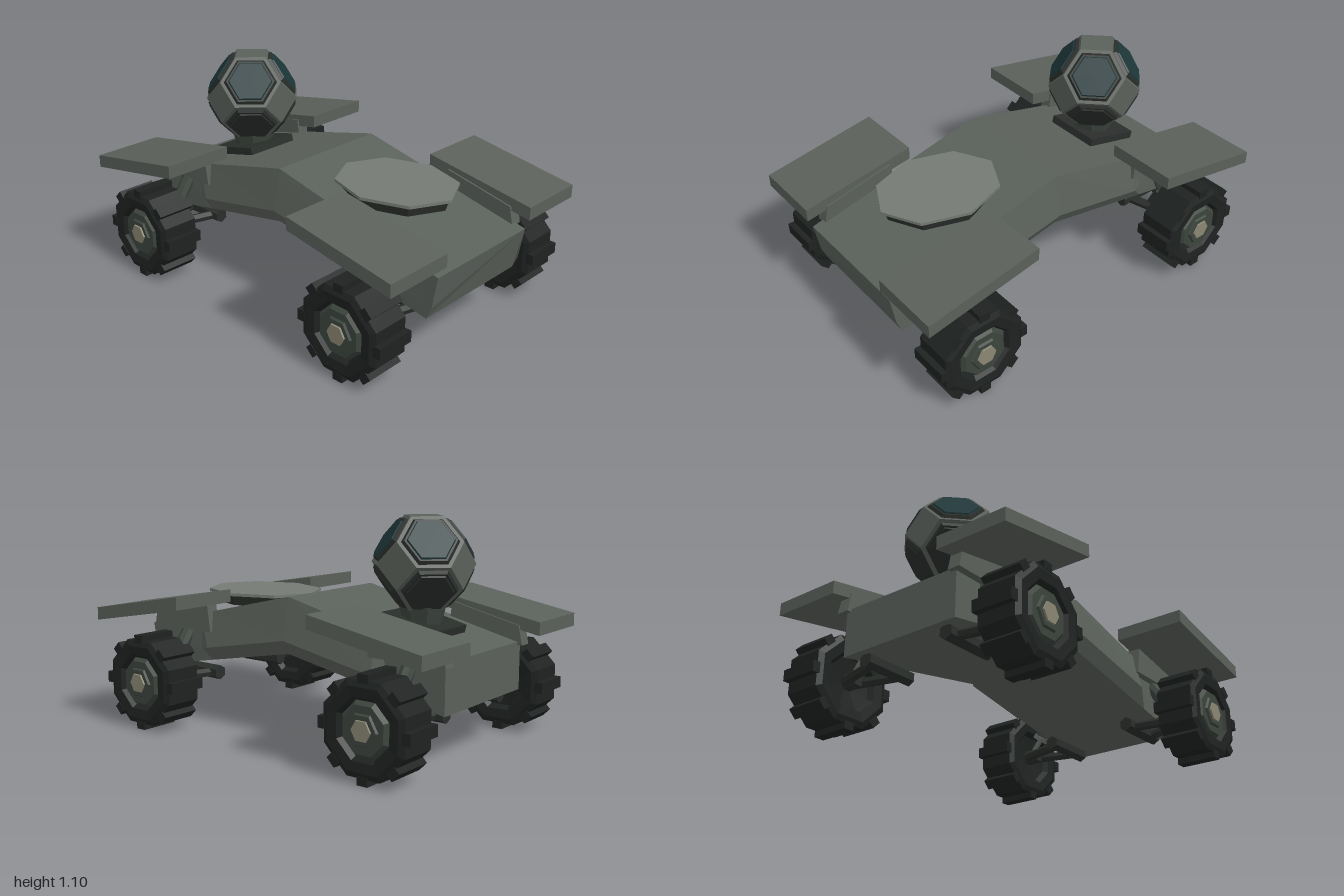
import * as THREE from 'three';
import { ConvexGeometry } from 'three/addons/geometries/ConvexGeometry.js';

const mat = (color) => new THREE.MeshStandardMaterial({ color, flatShading: true });
const HULL = mat(0x5a605a), PLATE = mat(0x747a73), DARK = mat(0x2a2e2b), TYRE = mat(0x1e2220);
const RIM = mat(0x3c443d), CAP = mat(0x8a8672), GLASS = mat(0x1d3638), STEEL = mat(0x6a706a);

function add(parent, name, geometry, material, x = 0, y = 0, z = 0) {
  const mesh = new THREE.Mesh(geometry, material);
  mesh.name = name;
  mesh.position.set(x, y, z);
  parent.add(mesh);
  return mesh;
}

// Side profile of [z, y] points extruded to a width across x
function slab(points, width) {
  const shape = new THREE.Shape(points.map(([z, y]) => new THREE.Vector2(z, y)));
  return new THREE.ExtrudeGeometry(shape, { depth: width, bevelEnabled: false })
    .translate(0, 0, -width / 2).rotateY(-Math.PI / 2);
}

// Rod between two points
function rod(parent, name, from, to, r1, r2, material, sides = 6) {
  const a = new THREE.Vector3(...from), b = new THREE.Vector3(...to);
  const dir = b.clone().sub(a);
  const mesh = add(parent, name, new THREE.CylinderGeometry(r2, r1, dir.length(), sides), material);
  mesh.position.copy(a).add(b).multiplyScalar(0.5);
  mesh.quaternion.setFromUnitVectors(new THREE.Vector3(0, 1, 0), dir.normalize());
}

// Arched hull: six-sided sections with a chine that flares between the wheels
function hullGeometry() {
  const stations = [ // top z, bottom z, chine half-width
    [-0.89, -0.89, 0.333], [-0.6, -0.6, 0.335], [-0.52, -0.52, 0.375], [0, 0, 0.375],
    [0.52, 0.52, 0.375], [0.6, 0.6, 0.335], [0.97, 0.915, 0.333],
  ];
  const pos = [], index = [], w = 0.333;
  for (const [zt, zb, chine] of stations) {
    const zc = (zt + zb) / 2;
    const t = 0.705 - 0.235 * Math.abs(zt);
    const c = 0.495 - 0.187 * Math.abs(zc);
    const b = 0.425 - 0.186 * Math.abs(zb);
    pos.push(w, t, zt, -w, t, zt, -chine, c, zc, -w, b, zb, w, b, zb, chine, c, zc);
  }
  const last = (stations.length - 1) * 6;
  for (let i = 0; i < last; i += 6) {
    for (let j = 0; j < 6; j++) {
      const k = (j + 1) % 6;
      index.push(i + j, i + k, i + 6 + k, i + j, i + 6 + k, i + 6 + j);
    }
  }
  for (let j = 1; j < 5; j++) index.push(0, j + 1, j, last, last + j, last + j + 1);
  const g = new THREE.BufferGeometry();
  g.setAttribute('position', new THREE.Float32BufferAttribute(pos, 3));
  g.setIndex(index);
  const flat = g.toNonIndexed();
  flat.computeVertexNormals();
  return flat;
}

// Eight-sided wheel, axle along local y, outer face towards +y
function makeWheel() {
  const wheel = new THREE.Group();
  wheel.name = 'wheel';
  const profile = [[0, -0.06], [0.13, -0.075], [0.15, -0.103], [0.2, -0.108], [0.23, -0.095],
    [0.23, 0.095], [0.2, 0.108], [0.15, 0.103], [0.13, 0.075], [0, 0.07]];
  add(wheel, 'tyre', new THREE.LatheGeometry(
    profile.map(([r, y]) => new THREE.Vector2(r, y)), 8, Math.PI / 8), TYRE);
  for (let k = 0; k < 8; k++) {
    const a = k * Math.PI / 4;
    const lug = add(wheel, 'tread lug', new THREE.BoxGeometry(0.055, 0.205, 0.04), TYRE,
      Math.sin(a) * 0.222, 0, Math.cos(a) * 0.222);
    lug.rotation.y = a;
  }
  const rim = add(wheel, 'rim', new THREE.CylinderGeometry(0.115, 0.14, 0.03, 8), RIM, 0, 0.085, 0);
  rim.rotation.y = Math.PI / 8;
  add(wheel, 'hub', new THREE.CylinderGeometry(0.075, 0.09, 0.02, 6), STEEL, 0, 0.1, 0).material = RIM;
  add(wheel, 'hub cap', new THREE.CylinderGeometry(0.05, 0.055, 0.02, 6), CAP, 0, 0.108, 0);
  return wheel;
}

// Wheel, suspension and fender for one corner
function makeCorner(sx, sz) {
  const corner = new THREE.Group();
  corner.name = `${sz > 0 ? 'front' : 'rear'} ${sx > 0 ? 'left' : 'right'} corner`;
  const z = 0.703 * sz;

  const wheel = makeWheel();
  wheel.rotation.z = -sx * Math.PI / 2;
  wheel.position.set(sx * 0.573, 0.242, z);
  corner.add(wheel);

  rod(corner, 'arm pivot', [sx * 0.24, 0.24, z - 0.14], [sx * 0.24, 0.24, z + 0.14], 0.038, 0.038, DARK);
  for (const d of [-0.09, 0.09]) {
    rod(corner, 'lower arm', [sx * 0.24, 0.236, z + d], [sx * 0.49, 0.24, z + d * 0.3], 0.024, 0.026, DARK);
  }
  rod(corner, 'axle', [sx * 0.43, 0.242, z], [sx * 0.53, 0.242, z], 0.035, 0.045, DARK);
  rod(corner, 'shock rod', [sx * 0.47, 0.27, z], [sx * 0.4, 0.36, z], 0.014, 0.014, STEEL);
  rod(corner, 'shock collar', [sx * 0.425, 0.33, z], [sx * 0.41, 0.35, z], 0.042, 0.042, STEEL, 8);
  rod(corner, 'shock body', [sx * 0.41, 0.35, z], [sx * 0.325, 0.47, z], 0.036, 0.036, RIM, 8);

  const fender = [[0.405, 0.64], [0.405, 0.705], [1, 0.6], [1, 0.535]];
  const support = [[0.5, 0.48], [0.525, 0.66], [0.895, 0.575], [0.915, 0.48]];
  const along = (pts) => pts.map(([pz, py]) => [pz * sz, py]);
  add(corner, 'fender', slab(along(fender), 0.37), HULL, sx * 0.5);
  add(corner, 'fender support', slab(along(support), 0.065), HULL, sx * 0.338);
  return corner;
}

// Faceted turret: truncated octahedron with raised hexagonal panels
function makeTurret() {
  const turret = new THREE.Group();
  turret.name = 'turret';
  const s = 0.11, points = [];
  for (const a of [-1, 1]) for (const b of [-2, 2]) {
    points.push([0, a, b], [0, b, a], [a, 0, b], [b, 0, a], [a, b, 0], [b, a, 0]);
  }
  add(turret, 'turret shell', new ConvexGeometry(
    points.map((p) => new THREE.Vector3(...p).multiplyScalar(s))), HULL);

  for (const x of [-1, 1]) for (const y of [-1, 1]) for (const z of [-1, 1]) {
    const n = new THREE.Vector3(x, y, z).normalize();
    const v = new THREE.Vector3(x, 0, -z).normalize();
    const panel = new THREE.Group();
    panel.name = 'turret panel';
    panel.quaternion.setFromRotationMatrix(
      new THREE.Matrix4().makeBasis(n.clone().cross(v), n, v));
    panel.position.copy(n).multiplyScalar(s * Math.sqrt(3));
    add(panel, 'panel frame', new THREE.CylinderGeometry(0.124, 0.138, 0.016, 6), DARK, 0, 0.006, 0);
    add(panel, 'panel window', new THREE.CylinderGeometry(0.108, 0.114, 0.008, 6),
      y > 0 ? GLASS : DARK, 0, 0.017, 0);
    turret.add(panel);
  }
  turret.position.set(0, 0.88, -0.55);
  return turret;
}

export function createModel() {
  const model = new THREE.Group();
  model.name = 'rover';
  add(model, 'hull', hullGeometry(), HULL);

  for (const sx of [-1, 1]) for (const sz of [-1, 1]) model.add(makeCorner(sx, sz));

  // Flat octagonal deck hatch on a dark base
  add(model, 'hatch base', new THREE.CylinderGeometry(1, 0.95, 0.05, 8).scale(0.25, 1, 0.305),
    DARK, 0, 0.635, 0.455);
  add(model, 'hatch plate', new THREE.CylinderGeometry(1, 1, 0.015, 8).scale(0.265, 1, 0.325),
    PLATE, 0, 0.667, 0.455);

  // Turret mount, following the slope of the rear deck
  const mount = add(model, 'turret mount', new THREE.BoxGeometry(0.3, 0.05, 0.3), DARK, 0, 0.59, -0.55);
  mount.rotation.x = -Math.atan(0.235);
  add(model, 'turret neck', new THREE.CylinderGeometry(0.12, 0.09, 0.12, 8), RIM, 0, 0.64, -0.55);
  model.add(makeTurret());
  return model;
}
